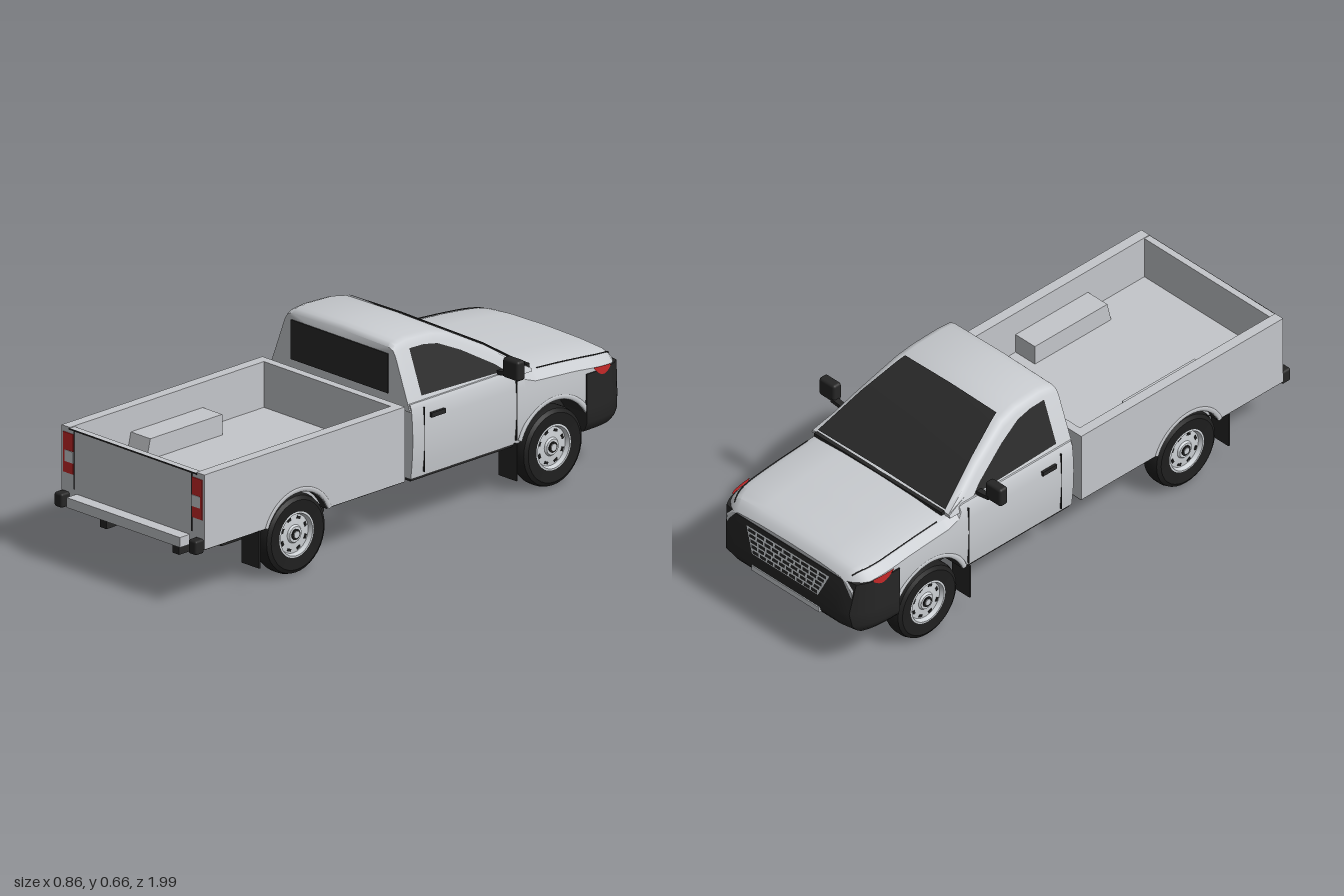
import * as THREE from 'three';
import { toCreasedNormals } from 'three/addons/utils/BufferGeometryUtils.js';
import { RoundedBoxGeometry } from 'three/addons/geometries/RoundedBoxGeometry.js';

const mat = (name, color, side = THREE.FrontSide) =>
  Object.assign(new THREE.MeshStandardMaterial({ color, side }), { name });

// linear interpolation in a table of [z, value], z descending
function table(rows, z) {
  if (z >= rows[0][0]) return rows[0][1];
  for (let i = 1; i < rows.length; i++) {
    const [a, u] = rows[i - 1], [b, v] = rows[i];
    if (z >= b) return u + (v - u) * (a - z) / (a - b);
  }
  return rows[rows.length - 1][1];
}

// closed skin through equal-sized loops of [x, y, z], with end caps
function loft(loops, crease = 0.5) {
  const n = loops[0].length, pos = loops.flat(2), idx = [];
  for (let i = 0; i < loops.length - 1; i++)
    for (let j = 0; j < n; j++) {
      const a = i * n + j, b = i * n + (j + 1) % n;
      idx.push(a, b, a + n, b, b + n, a + n);
    }
  [0, loops.length - 1].forEach((k) => {
    const c = pos.length / 3;
    for (let m = 0; m < 3; m++) pos.push(loops[k].reduce((s, p) => s + p[m], 0) / n);
    for (let j = 0; j < n; j++) {
      const a = k * n + j, b = k * n + (j + 1) % n;
      if (k) idx.push(a, b, c); else idx.push(b, a, c);
    }
  });
  // turn the skin outward if its signed volume is negative
  const P = (i) => new THREE.Vector3().fromArray(pos, i * 3);
  let vol = 0;
  for (let i = 0; i < idx.length; i += 3) vol += P(idx[i]).dot(P(idx[i + 1]).cross(P(idx[i + 2])));
  if (vol < 0) idx.reverse();
  const g = new THREE.BufferGeometry();
  g.setAttribute('position', new THREE.Float32BufferAttribute(pos, 3));
  g.setIndex(idx);
  return toCreasedNormals(g, crease);
}
const mirrorLoop = (half) => [...half, ...half.slice().reverse().filter((p) => p[0] > 1e-6).map(([x, y, z]) => [-x, y, z])];
const outline = (pts) => new THREE.Shape(pts.map((p) => new THREE.Vector2(...p)));

const FRONT = -0.66, REAR = 0.519, AXLE = 0.14, ARCH_F = 0.165, ARCH_R = 0.148;
const bodyHalf = (z) => 0.335 - 0.052 * Math.pow(Math.min(1, Math.max(0, (-z - 0.8) / 0.19)), 3.5);
const cabHalf = (y) => 0.315 - 0.065 * (y - 0.46) / 0.17;
const deck = (z) => table([[-0.5, 0.46], [-0.57, 0.435], [-0.75, 0.422], [-0.9, 0.405], [-0.945, 0.395], [-0.965, 0.382], [-0.978, 0.365]], z);
const roof = (z) => table([[0, 0.637], [-0.012, 0.65], [-0.07, 0.657], [-0.18, 0.651], [-0.25, 0.634], [-0.4, 0.552], [-0.57, 0.44]], z);

export function createModel() {
  const root = new THREE.Group();
  const paint = mat('body paint', 0xc9ccd0), bedPaint = mat('bed paint', 0xc4c6ca);
  const glass = mat('dark glass', 0x282828, THREE.DoubleSide), trim = mat('black trim', 0x262626, THREE.DoubleSide);
  const rubber = mat('tyre rubber', 0x1e1e1e), alloy = mat('alloy', 0xcdd1d5), red = mat('red lamp', 0xc62828, THREE.DoubleSide);
  const add = (name, geo, m, x = 0, y = 0, z = 0, parent = root) => {
    const mesh = new THREE.Mesh(geo, m);
    mesh.name = name;
    mesh.position.set(x, y, z);
    parent.add(mesh);
    return mesh;
  };
  // box given by its limits
  const box = (name, m, x0, x1, y0, y1, z0, z1) =>
    add(name, new THREE.BoxGeometry(Math.abs(x1 - x0), y1 - y0, z1 - z0), m, (x0 + x1) / 2, (y0 + y1) / 2, (z0 + z1) / 2);

  // lower cab and bonnet, with the front arch cut into the underside
  const zs = [-0.005, -0.2, -0.4, -0.47, -0.5, -0.57, -0.84, -0.87, -0.9, -0.925, -0.945, -0.965, -0.978];
  for (let a = 20; a <= 160; a += 7) zs.push(FRONT + ARCH_F * Math.cos(a * Math.PI / 180));
  zs.sort((a, b) => b - a);
  add('lowerCab', loft(zs.map((z) => {
    const d = z - FRONT, h = bodyHalf(z), top = deck(z), k = z > -0.52 ? 1 : 1.8;
    const low = Math.abs(d) < ARCH_F ? Math.max(0.195, AXLE + Math.sqrt(ARCH_F ** 2 - d * d)) : 0.195;
    const half = [[0, low, z]], end = top - 0.022 * k;
    for (let i = 0; i <= 5; i++) {
      const y = low + (end - low) * i / 5;
      half.push([h - 0.008 * ((y - 0.33) / 0.12) ** 2, y, z]);
    }
    half.push([h - 0.014 * k, top - 0.006 * k, z], [h - 0.03 * k, top, z], [h * 0.5, top + 0.007, z], [0, top + 0.01, z]);
    return mirrorLoop(half);
  })), paint);

  // upper cab
  add('upperCab', loft([0, -0.012, -0.035, -0.07, -0.12, -0.18, -0.215, -0.25, -0.32, -0.4, -0.48, -0.56].map((z) => {
    const T = roof(z), s = Math.max(0.44, T - 0.03), c = Math.max(0.44, T - 0.012);
    return mirrorLoop([[0, 0.43, z], [cabHalf(0.43), 0.43, z], [cabHalf(s), s, z], [cabHalf(c) - 0.005, c, z],
      [cabHalf(T) - 0.022, T - 0.004, z], [0, T, z]]);
  }), 0.85), paint);

  // windscreen, rear window and cowl
  const ws = [[-0.24, 0.215], [-0.555, 0.3]];
  const screen = new THREE.PlaneGeometry(2, 1, 2, 10), sp = screen.attributes.position;
  for (let i = 0; i < sp.count; i++) {
    const u = sp.getX(i), t = 0.5 - sp.getY(i), z = ws[0][0] + t * (ws[1][0] - ws[0][0]);
    sp.setXYZ(i, u * (ws[0][1] + t * (ws[1][1] - ws[0][1])), roof(z) + 0.006 - 0.004 * Math.abs(u), z - 0.002);
  }
  screen.computeVertexNormals();
  add('windscreen', screen, glass);
  box('rearWindow', glass, -0.228, 0.226, 0.472, 0.61, -0.001, 0.004);
  box('cowl', trim, -0.3, 0.3, 0.435, 0.448, -0.575, -0.56);

  // front bumper in stacked plan outlines: height, reach, inset
  add('frontBumper', loft([[0.155, 0.955, 0.02], [0.17, 0.975, 0.008], [0.19, 0.99, 0], [0.24, 0.998, 0], [0.36, 0.98, 0]].map(([y, reach, inset]) => {
    const half = [[0, y, -0.8]];
    for (let i = 0; i <= 8; i++) {
      const z = -0.8 - (reach - 0.812) * Math.sin(i * Math.PI / 16);
      half.push([bodyHalf(z) + 0.004 - inset, y, z]);
    }
    half.push([0.24, y, -reach], [0, y, -reach]);
    return mirrorLoop(half);
  })), trim);

  // grille: pale plate with staggered dark openings
  const grille = new THREE.Group();
  grille.name = 'grille';
  grille.position.set(0, 0.298, -0.991);
  grille.rotation.set(0.149, Math.PI, 0);
  root.add(grille);
  add('grillePlate', new THREE.ShapeGeometry(outline([[-0.195, 0.045], [-0.155, -0.045], [0.155, -0.045], [0.195, 0.045]])), alloy, 0, 0, 0, grille);
  for (let r = 0; r < 5; r++) {
    const n = 9 + r % 2, w = (0.31 + r * 0.016) / n;
    for (let i = 0; i < n; i++)
      add('grilleOpening', new THREE.PlaneGeometry(w * 0.8, 0.012), trim, (i - (n - 1) / 2) * w, -0.035 + r * 0.0175, 0.002, grille);
  }
  box('lowerIntake', alloy, -0.16, 0.16, 0.183, 0.203, -0.996, -0.984);

  // load bed
  box('bedFloor', bedPaint, -0.3, 0.3, 0.205, 0.3, 0.035, 0.94);
  box('bedFrontWall', bedPaint, -0.3, 0.3, 0.2, 0.46, 0.03, 0.06);
  box('tailgate', bedPaint, -0.296, 0.296, 0.2, 0.457, 0.927, 0.95);
  box('rearStep', bedPaint, -0.265, 0.265, 0.2, 0.235, 0.95, 0.995);
  box('tailgateTopGap', trim, -0.3, 0.3, 0.452, 0.457, 0.949, 0.952);
  box('bedUnderside', trim, -0.297, 0.297, 0.197, 0.204, 0.031, 0.948);

  for (const s of [1, -1]) {
    // bed side with the rear arch cut out
    const side = new THREE.Shape(), a0 = Math.asin(0.06 / ARCH_R);
    side.moveTo(0.03, 0.46);
    side.lineTo(0.03, 0.2);
    side.absarc(REAR, AXLE, ARCH_R, Math.PI - a0, a0, true);
    side.lineTo(0.95, 0.2);
    side.lineTo(0.95, 0.46);
    const sg = new THREE.ExtrudeGeometry(side, { depth: 0.038, bevelEnabled: false, curveSegments: 20 });
    sg.rotateY(-Math.PI / 2);
    add('bedSide', sg, bedPaint, s > 0 ? 0.334 : -0.296);
    for (const [z0, z1] of [[0.031, 0.38], [0.658, 0.948]]) box('bedSill', trim, s * 0.297, s * 0.332, 0.197, 0.201, z0, z1);

    // wheel box inside the bed, sloped at its back
    const hump = outline([[0.34, 0.29], [0.69, 0.29], [0.67, 0.372], [0.34, 0.372]]);
    const hg = new THREE.ExtrudeGeometry(hump, { depth: 0.095, bevelEnabled: false });
    hg.rotateY(-Math.PI / 2);
    add('wheelBox', hg, bedPaint, s > 0 ? 0.3 : -0.205);

    // tail lamp with pale middle, tailgate seam, bumper corner
    box('tailLamp', red, s * 0.278, s * 0.326, 0.3, 0.44, 0.949, 0.953);
    box('tailLampMiddle', alloy, s * 0.278, s * 0.317, 0.339, 0.379, 0.95, 0.9545);
    box('tailgateSeam', trim, s * 0.274, s * 0.278, 0.25, 0.455, 0.949, 0.952);
    add('bumperCorner', new RoundedBoxGeometry(0.038, 0.05, 0.04, 2, 0.008), trim, s * 0.314, 0.211, 0.968);

    // side window
    const win = new THREE.ShapeGeometry(outline([[-0.065, 0.47], [-0.065, 0.62], [-0.13, 0.618], [-0.19, 0.607], [-0.28, 0.565],
      [-0.41, 0.488], [-0.445, 0.46]]));
    const wp = win.attributes.position;
    for (let i = 0; i < wp.count; i++) wp.setXYZ(i, s * (cabHalf(wp.getY(i)) + 0.003), wp.getY(i), wp.getX(i));
    win.computeVertexNormals();
    add('sideWindow', win, glass);

    // door seams and handle
    for (const z of [-0.06, -0.482]) box('doorSeam', trim, s * 0.328, s * 0.3352, 0.21, 0.435, z - 0.0015, z + 0.0015);
    box('doorHandle', trim, s * 0.33, s * 0.341, 0.394, 0.41, -0.15, -0.087);

    // bonnet seam along the shoulder
    const seam = [-0.6, -0.7, -0.8, -0.87, -0.91, -0.94, -0.96].map((z) => new THREE.Vector3(s * (bodyHalf(z) - 0.03), deck(z) - 0.006, z));
    add('bonnetSeam', new THREE.TubeGeometry(new THREE.CatmullRomCurve3(seam), 24, 0.002, 5), trim);

    // mirror
    add('mirror', new RoundedBoxGeometry(0.074, 0.07, 0.036, 3, 0.01), trim, s * 0.392, 0.495, -0.412);
    const arm = add('mirrorArm', new THREE.BoxGeometry(0.07, 0.014, 0.022), trim, s * 0.335, 0.464, -0.42);
    arm.rotation.z = s * 0.12;

    // side lamp wrapped along the wing
    const lamp = new THREE.PlaneGeometry(1, 1, 8, 1), lp = lamp.attributes.position;
    for (let i = 0; i < lp.count; i++) {
      const t = lp.getX(i) + 0.5, z = -0.83 - 0.085 * t, up = lp.getY(i) > 0;
      lp.setXYZ(i, s * (bodyHalf(z) + 0.0055), up ? 0.376 - 0.008 * t : 0.372 - 0.03 * Math.sin(t * 2.7), z);
    }
    lamp.computeVertexNormals();
    add('sideLamp', lamp, red);

    for (const [z, r, m] of [[FRONT, ARCH_F, paint], [REAR, ARCH_R, bedPaint]]) {
      // arch liner and lip
      const liner = new THREE.CylinderGeometry(r - 0.002, r - 0.002, 0.1, 24, 1, true, -Math.PI * 0.38, Math.PI * 0.76);
      liner.rotateX(-Math.PI / 2).rotateY(Math.PI / 2);
      add('archLiner', liner, trim, s * 0.28, AXLE, z);
      const lip = new THREE.TorusGeometry(r + 0.008, 0.01, 6, 28, Math.PI * 0.76);
      lip.rotateZ(Math.PI * 0.12).scale(1, 1, 0.5).rotateY(Math.PI / 2);
      add('archLip', lip, m, s * 0.332, AXLE, z);

      // wheel
      const wheel = new THREE.Group();
      wheel.name = 'wheel';
      wheel.position.set(s * 0.291, AXLE - 0.002, z);
      wheel.rotation.z = -s * Math.PI / 2;
      root.add(wheel);
      const lathe = (pts) => toCreasedNormals(new THREE.LatheGeometry(pts.map((p) => new THREE.Vector2(...p)), 36), 0.6);
      add('tyre', lathe([[0.078, -0.034], [0.12, -0.038], [0.133, -0.03], [0.138, -0.014], [0.138, 0.014], [0.133, 0.03], [0.12, 0.038], [0.078, 0.034]]), rubber, 0, 0, 0, wheel);
      add('rim', lathe([[0, -0.03], [0.08, -0.03], [0.08, 0.034], [0.073, 0.035], [0.067, 0.02], [0.032, 0.023], [0.027, 0.03], [0, 0.03]]), alloy, 0, 0, 0, wheel);
      add('hubRing', new THREE.CylinderGeometry(0.019, 0.019, 0.004, 20), rubber, 0, 0.031, 0, wheel);
      add('hubCap', new THREE.CylinderGeometry(0.012, 0.012, 0.006, 16), alloy, 0, 0.033, 0, wheel);
      for (let i = 0; i < 8; i++) {
        const a = i * Math.PI / 4 + 0.39;
        const slot = add('rimSlot', new THREE.BoxGeometry(0.016, 0.003, 0.009), rubber, Math.sin(a) * 0.056, 0.0215, Math.cos(a) * 0.056, wheel);
        slot.rotation.y = a;
      }
    }

    // mud flaps, chassis rail, leaf spring
    for (const z of [0.7, -0.48]) box('mudFlap', trim, s * 0.255, s * 0.338, 0.07, 0.2, z - 0.003, z + 0.003);
    box('chassisRail', trim, s * 0.155, s * 0.185, 0.134, 0.187, -0.83, 0.92);
    box('leafSpring', trim, s * 0.195, s * 0.22, 0.132, 0.146, 0.29, 0.76);
  }

  // underside
  box('cabUnderside', trim, -0.318, 0.318, 0.185, 0.197, -0.49, -0.01);
  box('engineBay', trim, -0.23, 0.23, 0.18, 0.31, -0.83, -0.48);
  box('frontCrossmember', trim, -0.2, 0.2, 0.12, 0.156, -0.68, -0.63);
  box('fuelTank', trim, -0.13, 0.13, 0.155, 0.199, 0.11, 0.31);
  const axle = add('rearAxle', new THREE.CylinderGeometry(0.018, 0.018, 0.54, 14), trim, 0, AXLE, REAR);
  axle.rotation.z = Math.PI / 2;
  add('differential', new RoundedBoxGeometry(0.1, 0.088, 0.1, 3, 0.014), trim, 0, 0.131, REAR);
  return root;
}
